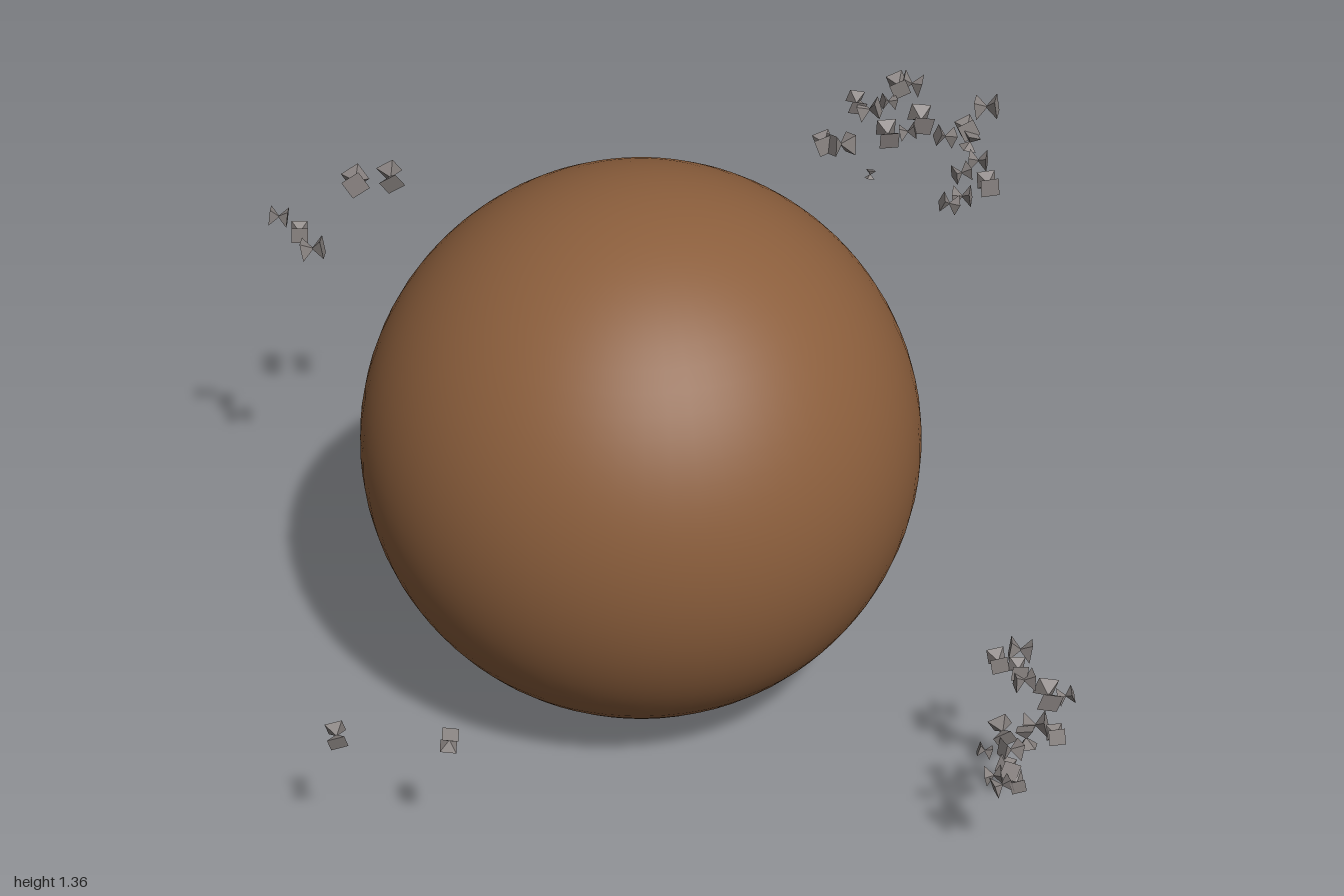
import * as THREE from 'three';

const soil = new THREE.MeshStandardMaterial({ color: 0x8b5e3c });
soil.name = 'brown soil';
const stone = new THREE.MeshStandardMaterial({ color: 0x888280, flatShading: true, side: THREE.DoubleSide });
stone.name = 'grey stone';

// rocks of the tilted ring: x, z, size, long axis
const CLUSTERS = {
  backRightRocks: [
    [-0.74, -0.77, 0.058, 'z'], [-0.65, -0.75, 0.054, 'z'], [-0.94, -0.65, 0.045, 'x'],
    [-0.89, -0.625, 0.045, 'z'], [-0.86, -0.56, 0.052, 'x'],
  ],
  backLeftRocks: [
    [0.74, -0.97, 0.05, 'x'], [0.70, -0.95, 0.05, 'z'], [0.67, -0.92, 0.035, 'x'], [0.58, -0.90, 0.045, 'z'],
    [0.61, -0.87, 0.05, 'x'], [0.48, -0.80, 0.05, 'z'], [0.52, -0.775, 0.058, 'x'], [0.65, -0.815, 0.055, 'z'],
    [0.70, -0.80, 0.04, 'x'], [0.74, -0.83, 0.058, 'z'], [0.80, -0.80, 0.045, 'x'], [0.86, -0.81, 0.05, 'z'],
    [0.92, -0.86, 0.055, 'x'], [0.86, -0.77, 0.04, 'y'], [0.87, -0.705, 0.045, 'x'], [0.58, -0.67, 0.022, 'y'],
    [0.82, -0.67, 0.042, 'x'], [0.88, -0.62, 0.052, 'z'], [0.81, -0.605, 0.045, 'x'], [0.77, -0.57, 0.042, 'x'],
  ],
  frontLeftRocks: [
    [0.73, 0.64, 0.05, 'x'], [0.67, 0.67, 0.045, 'z'], [0.71, 0.71, 0.042, 'z'], [0.72, 0.735, 0.045, 'x'],
    [0.77, 0.77, 0.055, 'z'], [0.81, 0.78, 0.035, 'x'], [0.73, 0.83, 0.05, 'x'], [0.77, 0.865, 0.042, 'z'],
    [0.65, 0.84, 0.05, 'z'], [0.70, 0.87, 0.045, 'y'], [0.60, 0.885, 0.03, 'x'], [0.66, 0.89, 0.045, 'x'],
    [0.645, 0.935, 0.045, 'z'], [0.61, 0.945, 0.038, 'x'], [0.625, 0.97, 0.04, 'x'], [0.66, 0.965, 0.038, 'z'],
  ],
  frontRightRocks: [
    [-0.88, 0.73, 0.045, 'z'], [-0.625, 0.78, 0.042, 'y'],
  ],
};

const ringHeight = (z) => 0.7 - 0.425 * z;

// small seeded generator
function seeded(seed) {
  return () => {
    seed = (seed * 16807) % 2147483647;
    return seed / 2147483647;
  };
}

// four-sided hourglass, one unit long
function rockGeometry() {
  const profile = [[0, -0.5], [0.64, -0.5], [0.06, 0], [0.64, 0.5], [0, 0.5]];
  return new THREE.LatheGeometry(profile.map(([r, y]) => new THREE.Vector2(r, y)), 4);
}

export function createModel() {
  const model = new THREE.Group();
  model.name = 'ringedPlanet';

  const planet = new THREE.Mesh(new THREE.SphereGeometry(0.682, 64, 40), soil);
  planet.name = 'planet';
  planet.position.set(-0.097, 0.685, 0.03);
  model.add(planet);

  const rand = seeded(41);
  const tilt = (amount) => (rand() - 0.5) * amount;
  const rock = rockGeometry();
  for (const [name, rocks] of Object.entries(CLUSTERS)) {
    const cluster = new THREE.Group();
    cluster.name = name;
    for (const [x, z, size, axis] of rocks) {
      const mesh = new THREE.Mesh(rock, stone);
      mesh.name = 'rock';
      mesh.position.set(x, ringHeight(z) + tilt(0.03), z);
      mesh.scale.setScalar(size);
      // lay the hourglass along its axis, then turn it a little
      mesh.rotation.set(
        (axis === 'z' ? Math.PI / 2 : 0) + tilt(0.7),
        Math.PI / 4 + tilt(0.7),
        (axis === 'x' ? Math.PI / 2 : 0) + tilt(0.7),
        'ZXY',
      );
      cluster.add(mesh);
    }
    model.add(cluster);
  }
  return model;
}
